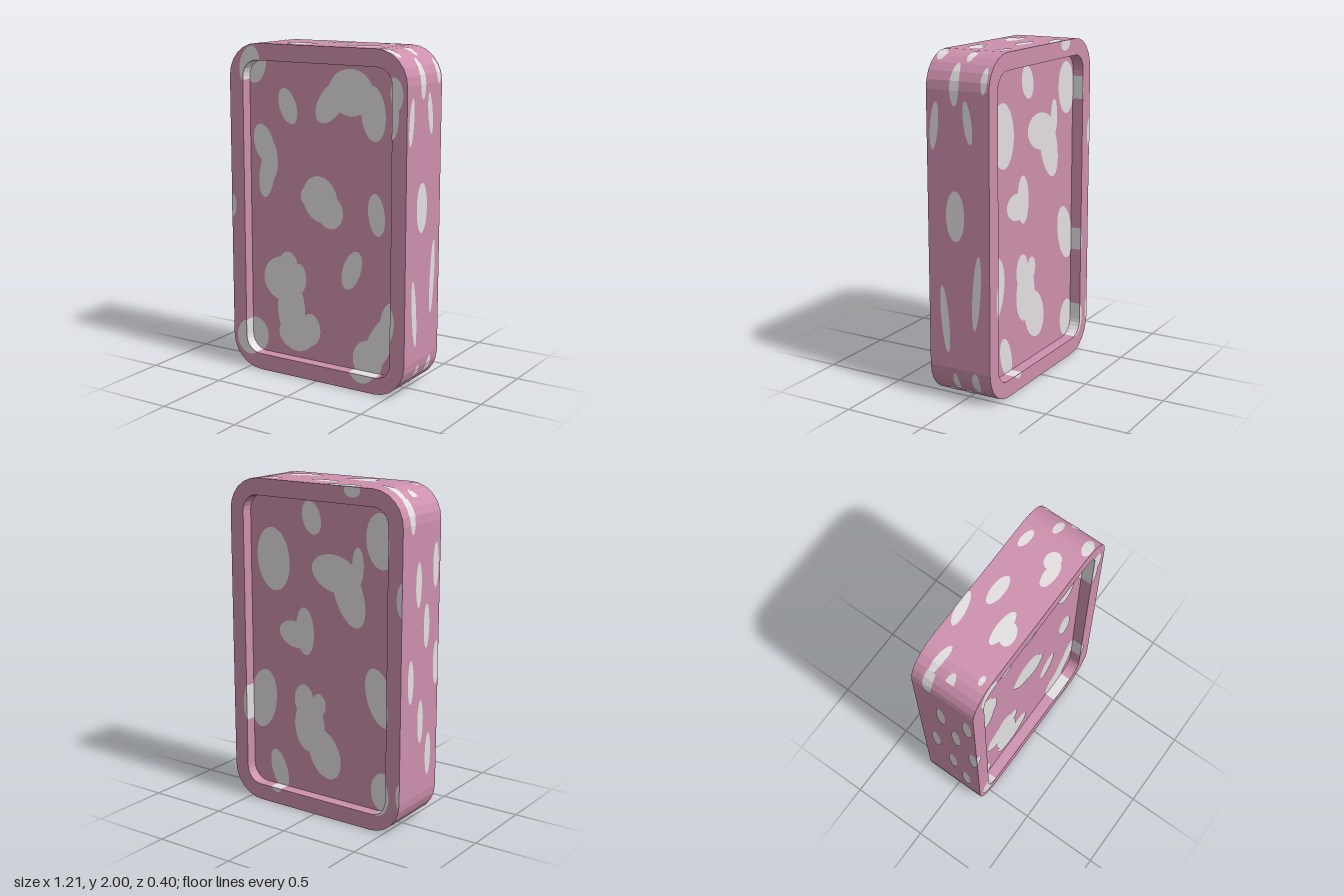
import * as THREE from 'three';
import { mergeGeometries } from 'three/addons/utils/BufferGeometryUtils.js';

const HALF_W = 0.605, HALF_D = 0.2, PANEL_Z = 0.13, LIFT = 0.002;

// Counter-clockwise outline of a rounded rectangle, centred on y = 1
function roundedRect(hw, hh, r) {
  const pts = [], seg = 6;
  for (let k = 0; k < 4; k++) {
    const sx = k === 0 || k === 3 ? 1 : -1, sy = k < 2 ? 1 : -1;
    for (let i = 0; i <= seg; i++) {
      const a = (k + i / seg) * Math.PI / 2;
      pts.push(new THREE.Vector2(sx * (hw - r) + r * Math.cos(a), 1 + sy * (hh - r) + r * Math.sin(a)));
    }
  }
  return pts;
}
const outer = roundedRect(HALF_W, 1, 0.2);
const inner = roundedRect(0.51, 0.9, 0.1);

// Tilted oval; large spots are several overlapping ovals
function oval(x, y, rx, ry, tilt = 0) {
  const curve = new THREE.EllipseCurve(x, y, rx, ry, 0, Math.PI * 2, false, tilt);
  return curve.getPoints(28).slice(0, -1);
}

// Keep the part of a polygon where f >= 0
function clip(poly, f) {
  const out = [];
  poly.forEach((p, i) => {
    const q = poly[(i + 1) % poly.length], a = f(p), b = f(q);
    if (a >= 0) out.push(p);
    if ((a >= 0) !== (b >= 0)) out.push(p.clone().lerp(q, a / (a - b)));
  });
  return out;
}

// Split a polygon by a convex outline into the inside part and outside pieces
function split(poly, outline) {
  const outside = [];
  let inside = poly;
  outline.forEach((a, i) => {
    const e = outline[(i + 1) % outline.length].clone().sub(a);
    const f = p => e.x * (p.y - a.y) - e.y * (p.x - a.x);
    outside.push(clip(inside, p => -f(p)));
    inside = clip(inside, f);
  });
  return { inside, outside };
}

// Is a point within a convex spot
function contains(poly, p) {
  return poly.every((a, i) => {
    const b = poly[(i + 1) % poly.length];
    return (b.x - a.x) * (p.y - a.y) >= (b.y - a.y) * (p.x - a.x);
  });
}

function addPlate(list, poly, matrix) {
  if (poly.length < 3 || Math.abs(THREE.ShapeUtils.area(poly)) < 1e-6) return;
  list.push(new THREE.ShapeGeometry(new THREE.Shape(poly)).applyMatrix4(matrix));
}
const atDepth = z => new THREE.Matrix4().makeTranslation(0, 0, z);

const frontSpots = [
  oval(-.46, 1.87, .07, .115, -.25), oval(-.235, 1.635, .06, .11, .35),
  // arched spot near the top
  oval(.07, 1.68, .08, .15, -.65), oval(.2, 1.74, .15, .135), oval(.35, 1.63, .08, .16, .1),
  oval(.52, 1.75, .06, .1), oval(.512, 1.63, .042, .125),
  // long spot on the left
  oval(-.41, 1.4, .07, .12, .3), oval(-.39, 1.22, .055, .15, -.15), oval(-.36, 1.3, .05, .12),
  // middle
  oval(-.01, 1.1, .12, .14, .3), oval(.06, 1.03, .09, .1), oval(-.08, 1.11, .065, .07),
  oval(.375, 1.05, .055, .125, .12), oval(-.605, 1.015, .035, .07), oval(.21, .7, .06, .125, -.35),
  // large spot low on the left
  oval(-.27, .58, .15, .14), oval(-.24, .66, .07, .095), oval(-.16, .6, .05, .09),
  oval(-.22, .4, .1, .18), oval(-.18, .25, .13, .11), oval(-.08, .29, .07, .1),
  // bottom corners
  oval(-.485, .195, .093, .11), oval(.47, .42, .065, .13, -.15), oval(.4, .28, .08, .2, -.45),
  oval(.32, .17, .1, .12),
];

// Back spots, laid out as seen from behind
const backSpots = [
  oval(-.34, 1.52, .12, .19, .1), oval(-.06, 1.79, .065, .1, .3),
  oval(.11, 1.48, .17, .11, -.2), oval(.2, 1.38, .1, .21, .35), oval(.265, 1.54, .04, .11),
  oval(-.18, 1.08, .12, .08, -.2), oval(-.11, 1.11, .065, .145, .05), oval(-.43, .64, .1, .19, -.15),
  oval(-.12, .68, .07, .1), oval(-.01, .67, .05, .07), oval(-.08, .53, .11, .17), oval(.03, .37, .11, .16, .4),
  oval(.42, .79, .09, .18, .3), oval(-.31, .2, .06, .13, .3), oval(.45, .22, .085, .12),
  oval(.42, 1.7, .1, .16, .1), oval(.27, 1.98, .055, .04), oval(.61, 1.4, .04, .1), oval(.61, .25, .03, .08),
];

// Rim spots: position along the side, then depth
const rightSpots = [
  oval(1.83, .02, .115, .03), oval(1.86, -.165, .07, .02), oval(1.6, .15, .135, .026, -.1),
  oval(1.63, -.065, .12, .026, .14), oval(1.1, .02, .145, .06), oval(.67, -.115, .22, .026, -.07),
  oval(.49, .095, .2, .026, .09), oval(.11, .035, .06, .02), oval(.13, -.1, .065, .025),
];
const topSpots = [
  oval(-.48, -.095, .09, .024, .15), oval(-.54, .013, .045, .025), oval(-.45, .15, .027, .015),
  oval(-.195, -.17, .105, .03, -.2), oval(0, -.075, .095, .037), oval(.325, -.13, .06, .025, .1),
  oval(.485, -.03, .05, .023), oval(.59, .02, .04, .03), oval(.475, .165, .06, .03, -.2),
  oval(-.16, .07, .11, .035), oval(-.17, .11, .07, .045, -.3), oval(.23, .095, .085, .035), oval(.3, .06, .055, .045),
];
const leftSpots = [[1.46, -.03], [1.55, .15], [1.21, .06], [.91, -.1], [.97, .17], [.65, .01], [.43, .1], [1.88, -.1]]
  .map(([y, z]) => oval(y, z, .13, .03));
// The underside repeats the top, turned end for end
const bottomSpots = topSpots.map(s => s.map(p => p.clone().negate()));

// Placement on an outline edge: local x along it, local y along depth
function edgeBasis(a, b, flip) {
  const e = b.clone().sub(a).normalize().multiplyScalar(flip);
  return new THREE.Matrix4().makeBasis(new THREE.Vector3(e.x, e.y, 0),
    new THREE.Vector3(0, 0, 1), new THREE.Vector3(e.y, -e.x, 0))
    .setPosition(a.x + e.y * LIFT, a.y - e.x * LIFT, 0);
}

// Spots on one broad side: raised border, recess walls and sunken panel
function faceSpots(spots) {
  const list = [];
  for (const s of spots) {
    const { inside, outside } = split(split(s, outer).inside, inner);
    addPlate(list, inside, atDepth(PANEL_Z + LIFT));
    outside.forEach(p => addPlate(list, p, atDepth(HALF_D + LIFT)));
  }
  inner.forEach((a, i) => {
    const b = inner[(i + 1) % inner.length], n = Math.ceil(a.distanceTo(b) / 0.02);
    for (let k = 0; k < n; k++) {
      const p = a.clone().lerp(b, k / n), q = a.clone().lerp(b, (k + 1) / n);
      if (!spots.some(s => contains(s, p.clone().lerp(q, 0.5)))) continue;
      const len = p.distanceTo(q), depth = HALF_D - PANEL_Z;
      list.push(new THREE.PlaneGeometry(len, depth).translate(-len / 2, PANEL_Z + depth / 2, 0)
        .applyMatrix4(edgeBasis(p, q, -1)));
    }
  });
  return mergeGeometries(list);
}

// Spots wrapped round the outer rim, one outline edge at a time
function rimGeometry() {
  const list = [];
  outer.forEach((a, i) => {
    const b = outer[(i + 1) % outer.length], len = a.distanceTo(b);
    const nx = b.y - a.y, ny = a.x - b.x, upright = Math.abs(nx) > Math.abs(ny);
    const spots = upright ? (nx > 0 ? rightSpots : leftSpots) : (ny > 0 ? topSpots : bottomSpots);
    const axis = upright ? 'y' : 'x';
    for (const s of spots) {
      let p = s.map(v => new THREE.Vector2((v.x - a[axis]) / (b[axis] - a[axis]) * len, v.y));
      for (const f of [v => v.x, v => len - v.x, v => HALF_D - v.y, v => HALF_D + v.y]) p = clip(p, f);
      addPlate(list, p, edgeBasis(a, b, 1));
    }
  });
  return mergeGeometries(list);
}

export function createModel() {
  const model = new THREE.Group();
  model.name = 'spottedCase';
  const pink = new THREE.MeshStandardMaterial({ color: 0xcd90ad });
  pink.name = 'dustyPink';
  const pale = new THREE.MeshStandardMaterial({ color: 0xe4e0e2 });
  pale.name = 'paleGrey';
  const add = (name, geometry, material) => {
    const mesh = new THREE.Mesh(geometry, material);
    mesh.name = name;
    model.add(mesh);
    return mesh;
  };

  // Rounded surround and the panel sunk into both sides
  const ring = new THREE.Shape(outer);
  ring.holes.push(new THREE.Path(inner));
  add('surround', new THREE.ExtrudeGeometry(ring, { depth: HALF_D * 2, bevelEnabled: false })
    .translate(0, 0, -HALF_D), pink);
  add('panel', new THREE.ExtrudeGeometry(new THREE.Shape(inner), { depth: PANEL_Z * 2, bevelEnabled: false })
    .translate(0, 0, -PANEL_Z), pink);

  // Painted spots
  add('frontSpots', faceSpots(frontSpots), pale);
  add('backSpots', faceSpots(backSpots), pale).rotation.y = Math.PI;
  add('rimSpots', rimGeometry(), pale);
  return model;
}
